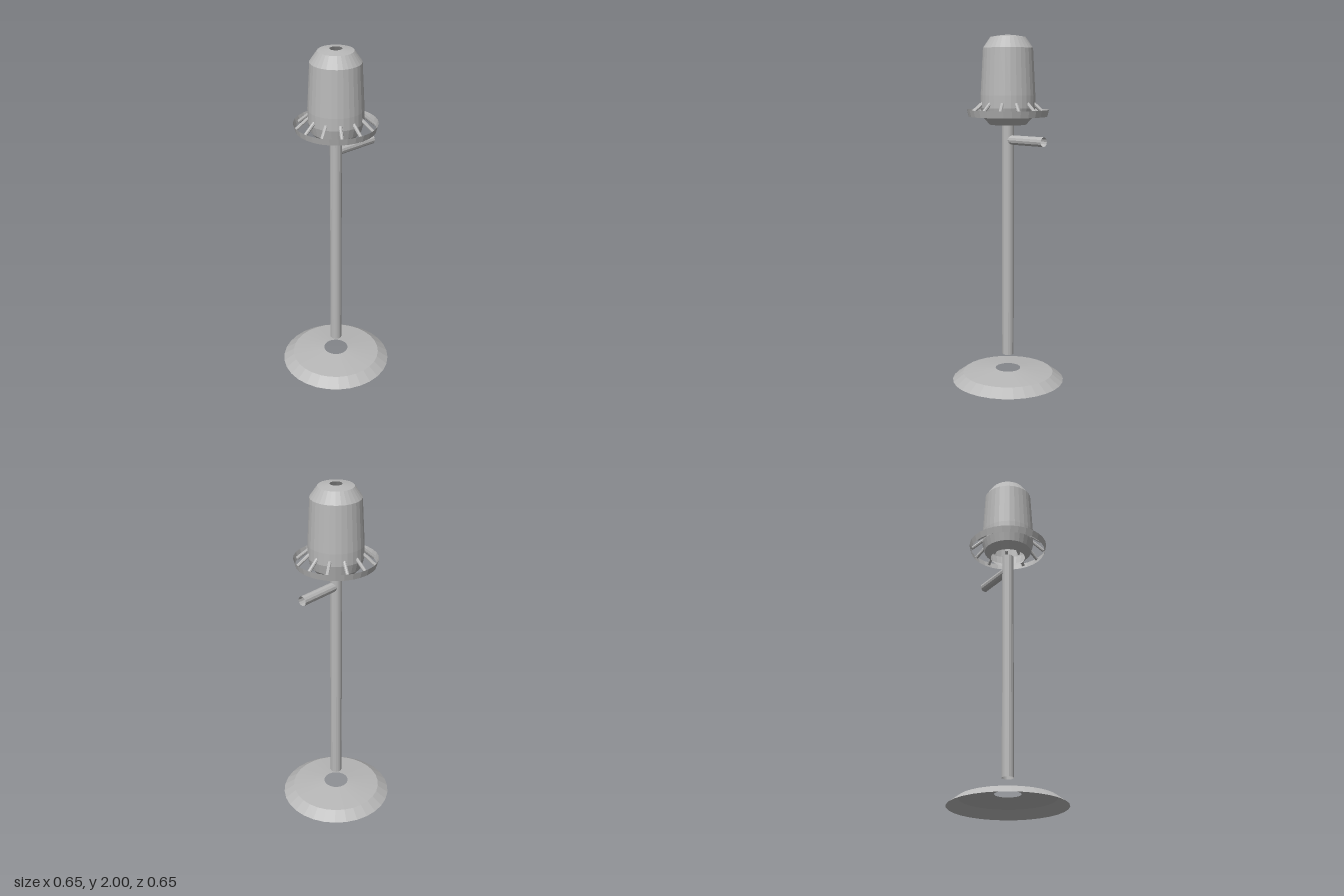
import * as THREE from 'three';

export function createModel() {
  const model = new THREE.Group();
  model.name = 'lamp';
  const metal = new THREE.MeshStandardMaterial({ color: 0xb8b8b8, flatShading: true, side: THREE.DoubleSide });
  metal.name = 'grey metal';

  const add = (name, geometry, parent = model) => {
    const mesh = new THREE.Mesh(geometry, metal);
    mesh.name = name;
    parent.add(mesh);
    return mesh;
  };
  const lathe = (points, sides = 30) =>
    new THREE.LatheGeometry(points.map(([r, y]) => new THREE.Vector2(r, y)), sides);

  // Hollow dished foot with a central hole
  add('base', lathe([[0.327, 0], [0.265, 0.045], [0.073, 0.067]]));

  // Open tube floating just above the foot
  add('pole', lathe([[0.034, 0.155], [0.034, 1.51]], 16));

  // Open side tube
  const arm = add('sideArm', new THREE.CylinderGeometry(0.027, 0.027, 0.264, 12, 1, true));
  arm.rotation.z = -Math.PI / 2;
  arm.position.set(0.132, 1.419, 0);

  // Shade shell, open below and with a small vent on top
  add('shade', lathe([
    [0.103, 1.505], [0.14, 1.545], [0.154, 1.6], [0.154, 1.67],
    [0.14, 1.93], [0.098, 1.99], [0.034, 2],
  ]));

  // Slightly flared band around the shade
  add('ring', lathe([[0.222, 1.55], [0.232, 1.588]]));

  // Sloping spokes between the shade and the band
  const spokes = new THREE.Group();
  spokes.name = 'spokes';
  model.add(spokes);
  const inner = new THREE.Vector2(0.135, 1.635), outer = new THREE.Vector2(0.217, 1.563);
  const slope = outer.clone().sub(inner);
  const spokeGeometry = new THREE.CylinderGeometry(0.01, 0.01, slope.length(), 8);
  spokeGeometry.rotateZ(slope.angle() - Math.PI / 2);
  spokeGeometry.translate((inner.x + outer.x) / 2, (inner.y + outer.y) / 2, 0);
  for (let i = 0; i < 12; i++) {
    add('spoke', spokeGeometry, spokes).rotation.y = (i * Math.PI) / 6;
  }

  return model;
}
